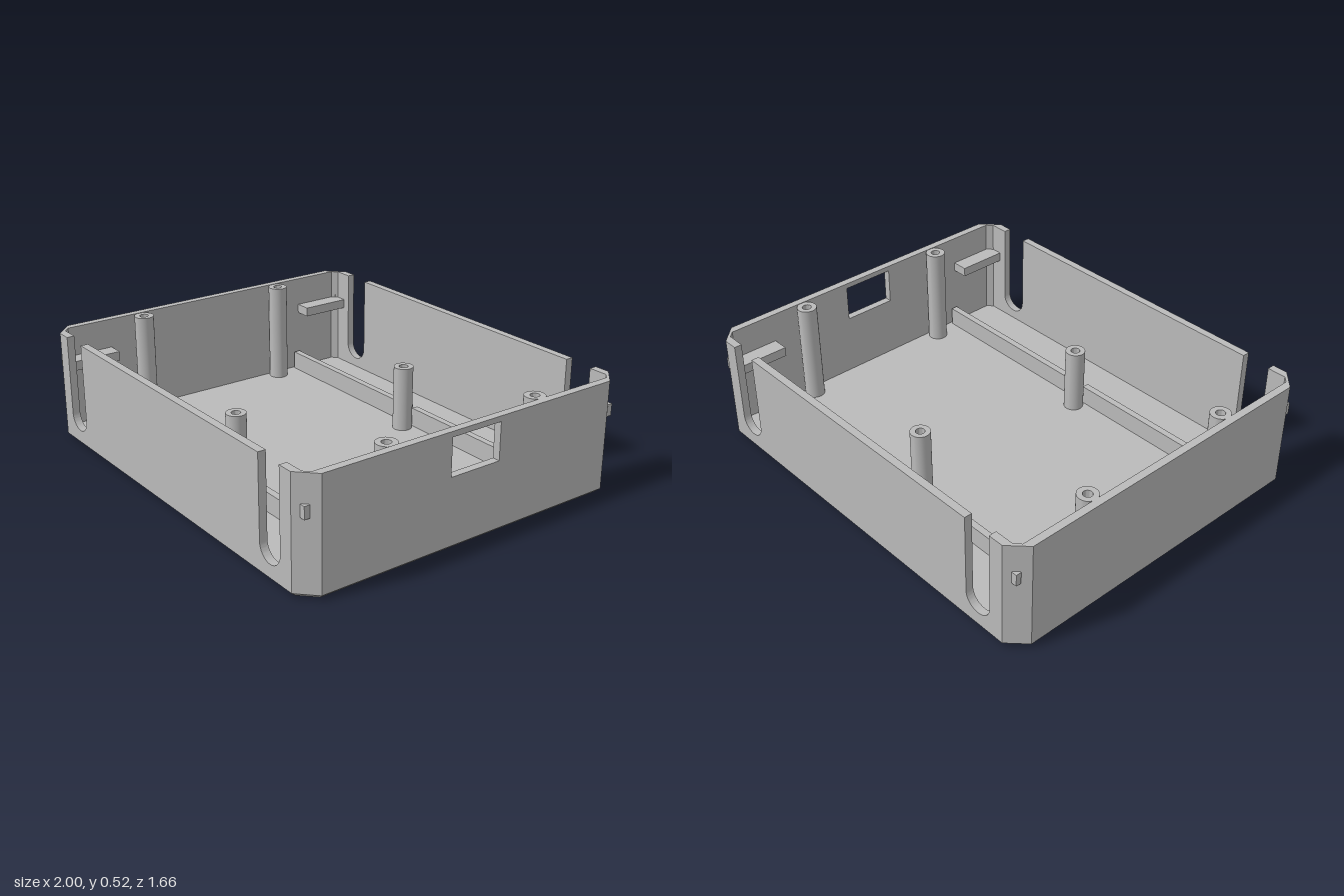
import * as THREE from 'three';
import { toCreasedNormals } from 'three/addons/utils/BufferGeometryUtils.js';
import { ConvexGeometry } from 'three/addons/geometries/ConvexGeometry.js';

const FLOOR = 0.035, TOP = 0.52, W = 0.036; // floor level, rim height, wall thickness
const X = 1, Z = 0.83, C = 0.08;            // half width, half depth, corner chamfer
const SIGNS = [-1, 1];

export function createModel() {
  const group = new THREE.Group();
  group.name = 'enclosureBase';
  const grey = new THREE.MeshStandardMaterial({ color: 0xbababa });
  grey.name = 'grey plastic';

  const add = (name, geometry) => {
    const mesh = new THREE.Mesh(geometry, grey);
    mesh.name = name;
    group.add(mesh);
    return mesh;
  };
  const box = (name, x0, x1, y0, y1, z0, z1) =>
    add(name, new THREE.BoxGeometry(Math.abs(x1 - x0), y1 - y0, Math.abs(z1 - z0)))
      .position.set((x0 + x1) / 2, (y0 + y1) / 2, (z0 + z1) / 2);
  const extrude = (shape, depth) =>
    toCreasedNormals(new THREE.ExtrudeGeometry(shape, { depth, bevelEnabled: false, curveSegments: 16 }), 0.6);

  // Floor plate: chamfered outline with a bevelled lower edge
  const outline = (y, inset) => {
    const c = C - inset * 0.586, pts = [];
    for (const sx of SIGNS) for (const sz of SIGNS) {
      pts.push(new THREE.Vector3(sx * (X - inset), y, sz * (Z - inset - c)));
      pts.push(new THREE.Vector3(sx * (X - inset - c), y, sz * (Z - inset)));
    }
    return pts;
  };
  add('floor', new ConvexGeometry([...outline(0, 0.022), ...outline(0.02, 0), ...outline(FLOOR, 0)]));

  // Front and back walls with two round-bottomed cable slots
  const wall = new THREE.Shape();
  const r = 0.068, slotX = 0.78, slotY = 0.148;
  wall.moveTo(-X + C, FLOOR).lineTo(X - C, FLOOR).lineTo(X - C, TOP);
  for (const x of [slotX, -slotX]) {
    wall.lineTo(x + r, TOP).lineTo(x + r, slotY);
    wall.absarc(x, slotY, r, 0, -Math.PI, true);
    wall.lineTo(x - r, TOP);
  }
  wall.lineTo(-X + C, TOP);
  wall.closePath();
  add('frontWall', extrude(wall, W)).position.z = Z - W;
  add('backWall', extrude(wall, W)).position.z = -Z;

  // Side walls; only the left one has a window
  const side = new THREE.Shape();
  side.moveTo(-Z + C, FLOOR).lineTo(Z - C, FLOOR).lineTo(Z - C, TOP).lineTo(-Z + C, TOP).closePath();
  const pane = new THREE.Path();
  pane.moveTo(-0.127, 0.325).lineTo(-0.127, 0.495).lineTo(0.127, 0.495).lineTo(0.127, 0.325).closePath();
  add('rightWall', extrude(side, W).rotateY(Math.PI / 2)).position.x = -X;
  const windowed = side.clone();
  windowed.holes.push(pane);
  add('leftWall', extrude(windowed, W).rotateY(Math.PI / 2)).position.x = X - W;

  // Screw post: a hollow tube standing on the floor
  const post = (name, x, z, height) => {
    const profile = [[0.046, FLOOR], [0.046, height], [0.021, height], [0.021, FLOOR]]
      .map(([a, b]) => new THREE.Vector2(a, b));
    add(name, toCreasedNormals(new THREE.LatheGeometry(profile, 32), 0.6)).position.set(x, 0, z);
  };

  for (const sz of SIGNS) {
    for (const sx of SIGNS) {
      // Chamfered corner wall
      const plan = [[X, Z - C], [X - C, Z], [X - C, Z - W], [0.938, Z - W], [X - W, 0.768], [X - W, Z - C]]
        .map(([x, z]) => new THREE.Vector2(sx * x, -sz * z));
      add('cornerWall', extrude(new THREE.Shape(plan), TOP - FLOOR).rotateX(-Math.PI / 2)).position.y = FLOOR;

      // Snap nib on the corner and support ledge inside it
      box('snapNib', sx * 0.948, sx * 0.973, 0.34, 0.395, sz * 0.783, sz * 0.808);
      box('ledge', sx * 0.885, sx * (X - W), 0.335, 0.38, sz * 0.55, sz * (Z - W));

      // Low floor rib, split at the middle
      box('floorRib', sx * 0.015, sx * 0.952, FLOOR, 0.125, sz * 0.515, sz * 0.547);

      post('cornerPost', sx * 0.92, sz * 0.39, TOP - 0.002);
    }
    post('middlePost', 0, sz * 0.468, 0.345);
  }
  return group;
}
